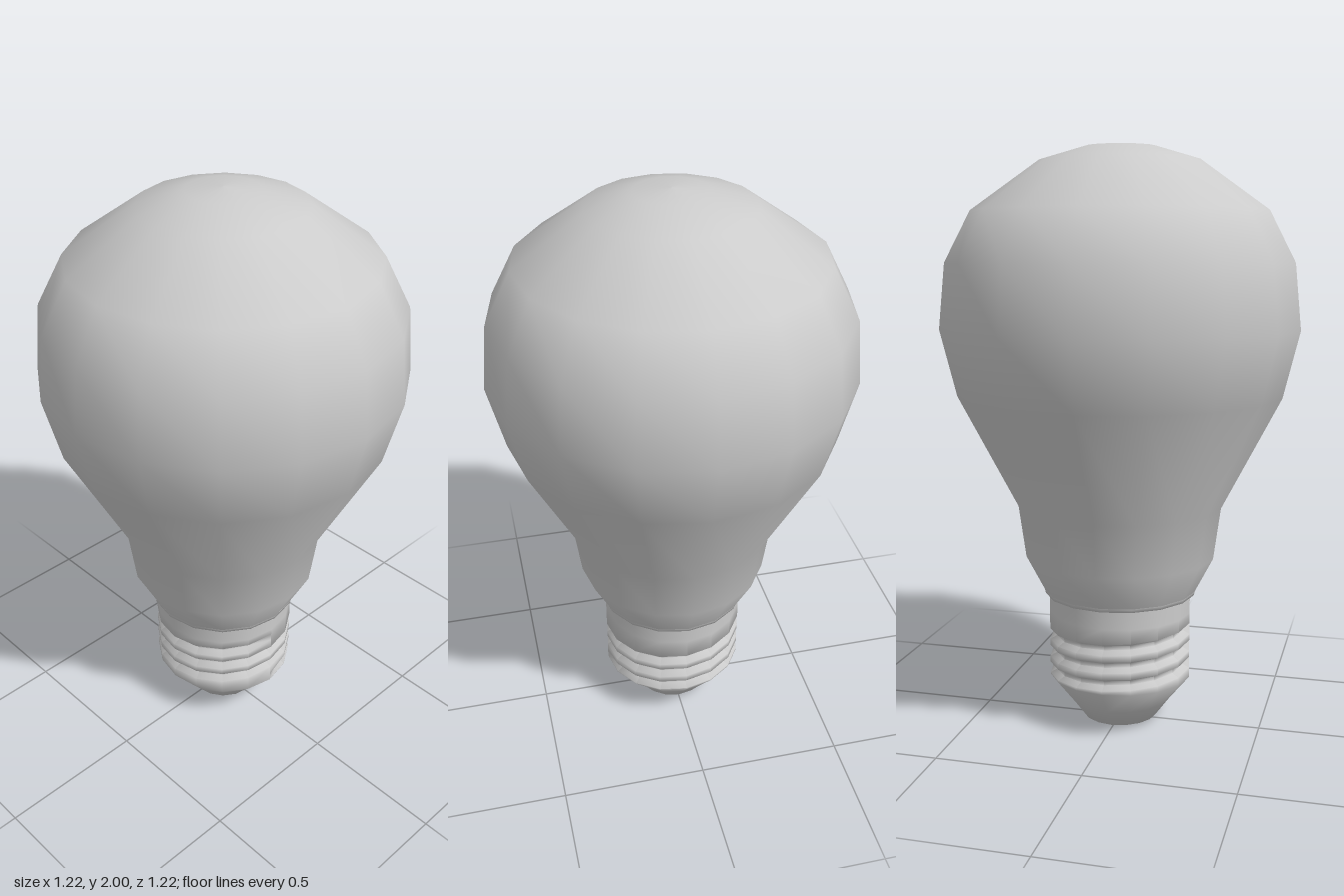
import * as THREE from 'three';
import { toCreasedNormals } from 'three/addons/utils/BufferGeometryUtils.js';

const SIDES = 16;

function lathe(name, points, material) {
  const profile = points.map(([r, y]) => new THREE.Vector2(r, y));
  const mesh = new THREE.Mesh(new THREE.LatheGeometry(profile, SIDES), material);
  mesh.name = name;
  return mesh;
}

// Cross-section of the screw cap, bottom to top; t is the turn (0 to 1) from +x
function screwProfile(t) {
  const rows = [[0, 0], [0.07, 0.003], [0.13, 0.013], [0.18, 0.08], [0.25, 0.15 + 0.02 * Math.sin(Math.PI * t)]];
  const pitch = 0.062;
  for (let i = 0; i < 3; i++) {
    const c = 0.172 + pitch * (i + t);
    // The lowest groove fades in at the seam, the highest fades out
    const faded = (i === 0 && t < 0.01) || (i === 2 && t > 0.99);
    const deep = faded ? 0.25 : 0.226;
    rows.push([0.25, c - 0.02], [deep, c - 0.007], [deep, c + 0.007], [0.25, c + 0.02]);
  }
  rows.push([0.25, 0.4], [0.25, 0.475]);
  return rows;
}

function screwGeometry() {
  const positions = [];
  const index = [];
  let count = 0;
  for (let j = 0; j <= SIDES; j++) {
    const t = j / SIDES;
    const phi = Math.PI / 2 + t * Math.PI * 2;
    const rows = screwProfile(t);
    count = rows.length;
    for (const [r, y] of rows) positions.push(r * Math.sin(phi), y, r * Math.cos(phi));
  }
  for (let j = 0; j < SIDES; j++) {
    for (let i = 0; i < count - 1; i++) {
      const a = j * count + i;
      const b = a + count;
      if (i > 0) index.push(a, b, b + 1);
      else index.push(a, b + 1, a + 1);
      if (i > 0) index.push(a, b + 1, a + 1);
    }
  }
  const geometry = new THREE.BufferGeometry();
  geometry.setAttribute('position', new THREE.Float32BufferAttribute(positions, 3));
  geometry.setIndex(index);
  return toCreasedNormals(geometry, 1.1);
}

export function createModel() {
  const group = new THREE.Group();
  group.name = 'lightBulb';
  const grey = new THREE.MeshStandardMaterial({ color: 0xcccccc });

  // Glass envelope
  group.add(lathe('glassBulb', [
    [0.265, 0.475], [0.33, 0.6], [0.355, 0.78], [0.555, 1.165], [0.61, 1.39],
    [0.588, 1.61], [0.5, 1.78], [0.27, 1.945], [0.12, 1.99], [0, 2],
  ], grey));

  // Thin lip where the glass meets the cap
  group.add(lathe('collar', [[0.245, 0.46], [0.264, 0.465], [0.267, 0.478]], grey));

  // Threaded cap with tapered foot
  const screw = new THREE.Mesh(screwGeometry(), grey);
  screw.name = 'screwCap';
  group.add(screw);

  return group;
}
